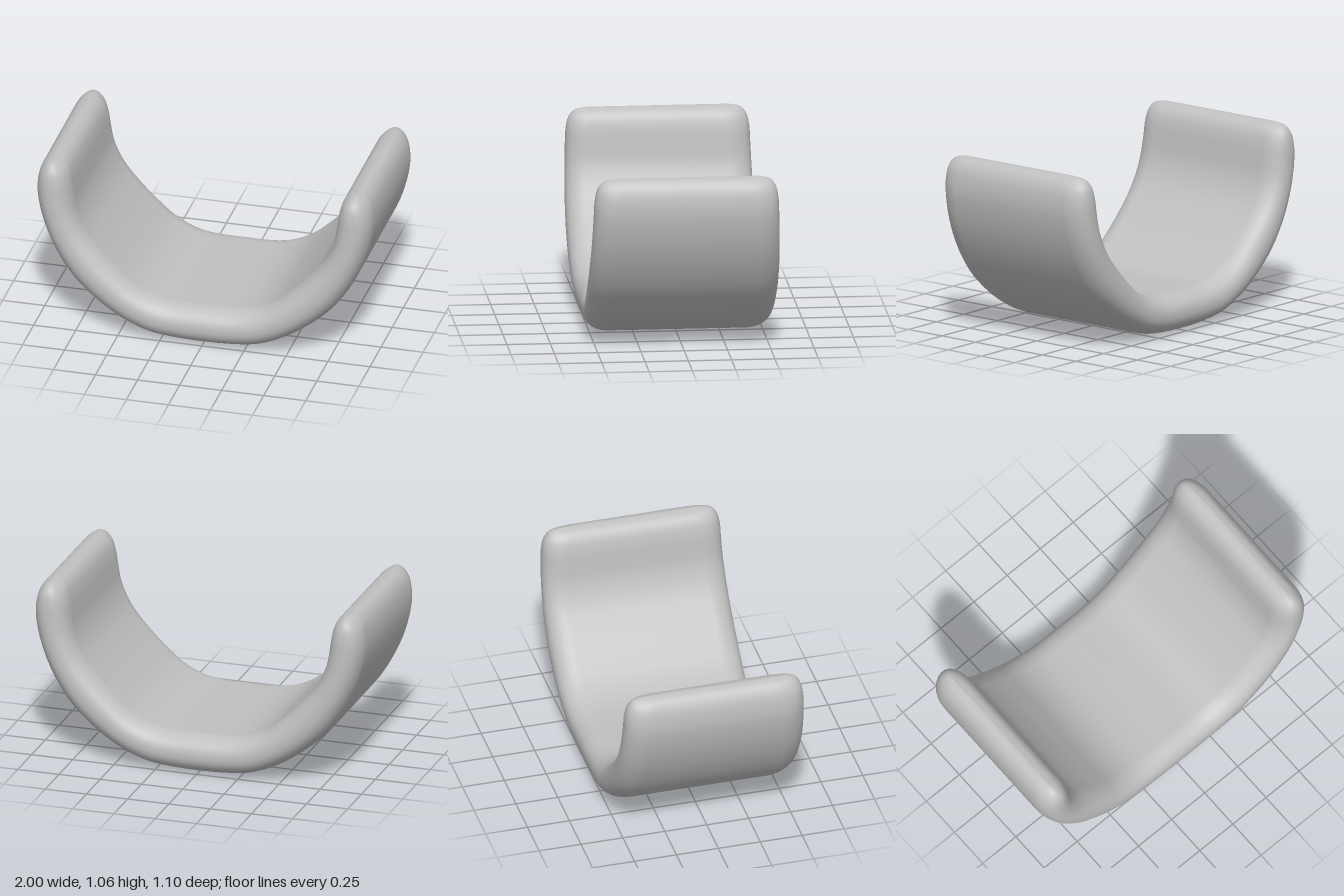
import * as THREE from 'three';
import { mergeVertices } from 'three/addons/utils/BufferGeometryUtils.js';

// Half profile from the middle of the base to the tip of one arm:
// outer x, outer y, inner x, inner y, half depth
const STATIONS = [
  [0, 0, 0, 0.23, 0.535],
  [0.2, 0.008, 0.2, 0.235, 0.535],
  [0.32, 0.028, 0.31, 0.26, 0.54],
  [0.46, 0.085, 0.41, 0.31, 0.545],
  [0.61, 0.18, 0.5, 0.385, 0.548],
  [0.77, 0.325, 0.61, 0.495, 0.548],
  [0.88, 0.49, 0.71, 0.62, 0.545],
  [0.955, 0.66, 0.765, 0.745, 0.54],
  [0.995, 0.83, 0.785, 0.86, 0.535],
  [0.995, 0.93, 0.797, 0.94, 0.53],
  [0.978, 1.0, 0.817, 1.005, 0.515],
  [0.945, 1.045, 0.85, 1.045, 0.48],
  [0.9, 1.062, 0.9, 1.062, 0.41],
];

// Full left-right run of stations, mirrored about x = 0
const run = [
  ...STATIONS.slice(1).reverse().map(([ox, oy, ix, iy, d]) => [-ox, oy, -ix, iy, d]),
  ...STATIONS,
];

function curvedBand(steps, sides) {
  const outer = new THREE.CatmullRomCurve3(run.map(p => new THREE.Vector3(p[0], p[1], p[4])));
  const inner = new THREE.CatmullRomCurve3(run.map(p => new THREE.Vector3(p[2], p[3], p[4])));
  const positions = [], index = [];
  const soften = v => Math.sign(v) * Math.pow(Math.abs(v), 0.9);

  for (let i = 0; i <= steps; i++) {
    const o = outer.getPoint(i / steps), n = inner.getPoint(i / steps);
    const rim = 0.15;
    // Cross-section: long flat faces joined by rounded front and back rims
    for (let j = 0; j < sides; j++) {
      const a = ((j + 0.5) / sides) * Math.PI * 2;
      const k = 0.5 + 0.5 * soften(Math.sin(a)) / soften(Math.sin(Math.PI / 2));
      const z = Math.sign(Math.cos(a)) * (o.z - rim) + rim * soften(Math.cos(a));
      positions.push(n.x + (o.x - n.x) * k, n.y + (o.y - n.y) * k, z);
    }
  }
  for (let i = 0; i < steps; i++) {
    for (let j = 0; j < sides; j++) {
      const a = i * sides + j, d = i * sides + (j + 1) % sides;
      const b = a + sides, c = d + sides;
      index.push(a, d, b, d, c, b);
    }
  }
  let geometry = new THREE.BufferGeometry();
  geometry.setAttribute('position', new THREE.Float32BufferAttribute(positions, 3));
  geometry.setIndex(index);
  geometry = mergeVertices(geometry, 1e-4);
  geometry.computeVertexNormals();
  return geometry;
}

export function createModel() {
  const group = new THREE.Group();
  group.name = 'curvedCradle';

  const grey = new THREE.MeshStandardMaterial({ color: 0xc0c0c0 });
  grey.name = 'light grey';

  // One thick U-shaped band with rounded rims and arm tips
  const band = new THREE.Mesh(curvedBand(96, 32), grey);
  band.name = 'cradleBand';
  group.add(band);
  return group;
}
